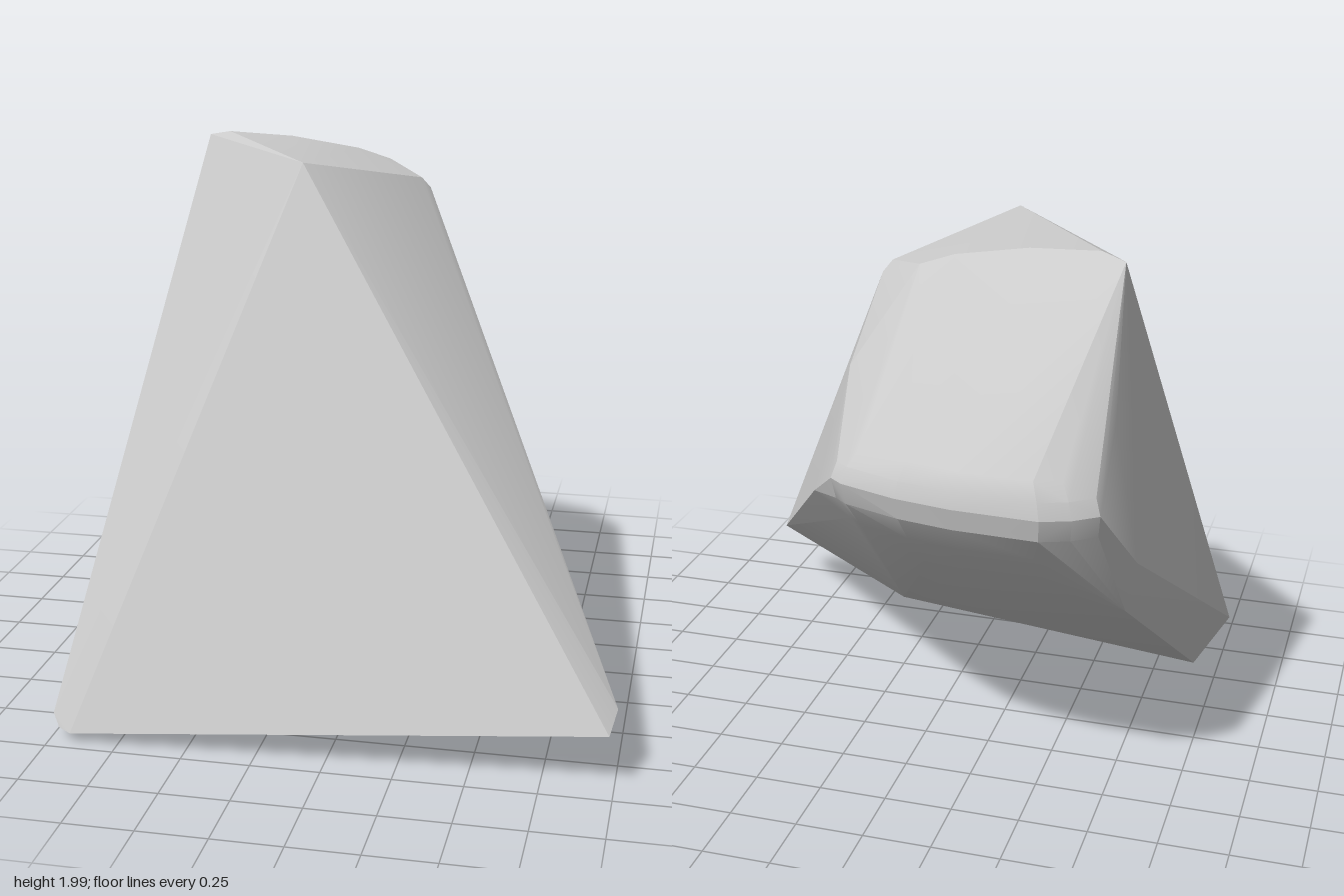
import * as THREE from 'three';
import { ConvexGeometry } from 'three/addons/geometries/ConvexGeometry.js';
import { toCreasedNormals } from 'three/addons/utils/BufferGeometryUtils.js';

// Corners of the three pointed ends and the top
const ends = [
  [-0.22, 1.975, 0.24],
  [-0.74, 1.97, -0.38], [-0.65, 1.99, -0.34], [-0.4, 1.98, -0.335], [-0.14, 1.94, -0.345], [-0.02, 1.9, -0.36],
  [0.13, 1.86, -0.2], [0.16, 1.82, -0.22],
  [0.98, 0.21, 0.95], [1, 0.27, 0.86],
  [-0.92, 0.035, 0.96], [-1, 0.08, 0.9], [-0.97, 0.04, 0.93], [-0.9, 0, 0.6],
];

// Corners of the flanks and underside
const flanks = [
  [0.19, 1.56, -0.5], [0.32, 1.09, -0.54],
  [0.1, 0.54, -0.2], [-0.13, 0.65, -0.38], [-0.39, 0.4, -0.03],
  [-0.82, 0.79, -0.57], [-0.86, 0.99, -0.6], [-0.78, 1.5, -0.66],
];

// Plan of the rounded back edge (x, z), swept through a nose profile (y, inset in z)
const rim = [[-0.78, -0.86], [-0.7, -0.92], [-0.6, -0.957], [-0.3, -0.945], [-0.1, -0.91], [0.11, -0.84], [0.16, -0.8]];
const nose = [[1.38, 0.04, 0.88], [1.32, 0.01, 0.96], [1.26, 0, 1], [1.18, 0.02, 0.98], [1.08, 0.09, 0.93], [0.93, 0.23, 0.84]];

export function createModel() {
  const points = [...ends, ...flanks].map(p => new THREE.Vector3(...p));
  const middle = -0.35;
  for (const [y, inset, width] of nose) {
    for (const [x, z] of rim) {
      points.push(new THREE.Vector3(middle + (x - middle) * width, y, z + inset));
    }
  }
  const geometry = toCreasedNormals(new ConvexGeometry(points), 0.35);
  const body = new THREE.Mesh(geometry, new THREE.MeshStandardMaterial({ color: 0xcccccc }));
  body.name = 'facetedBody';
  const group = new THREE.Group();
  group.name = 'facetedStone';
  group.add(body);
  return group;
}
